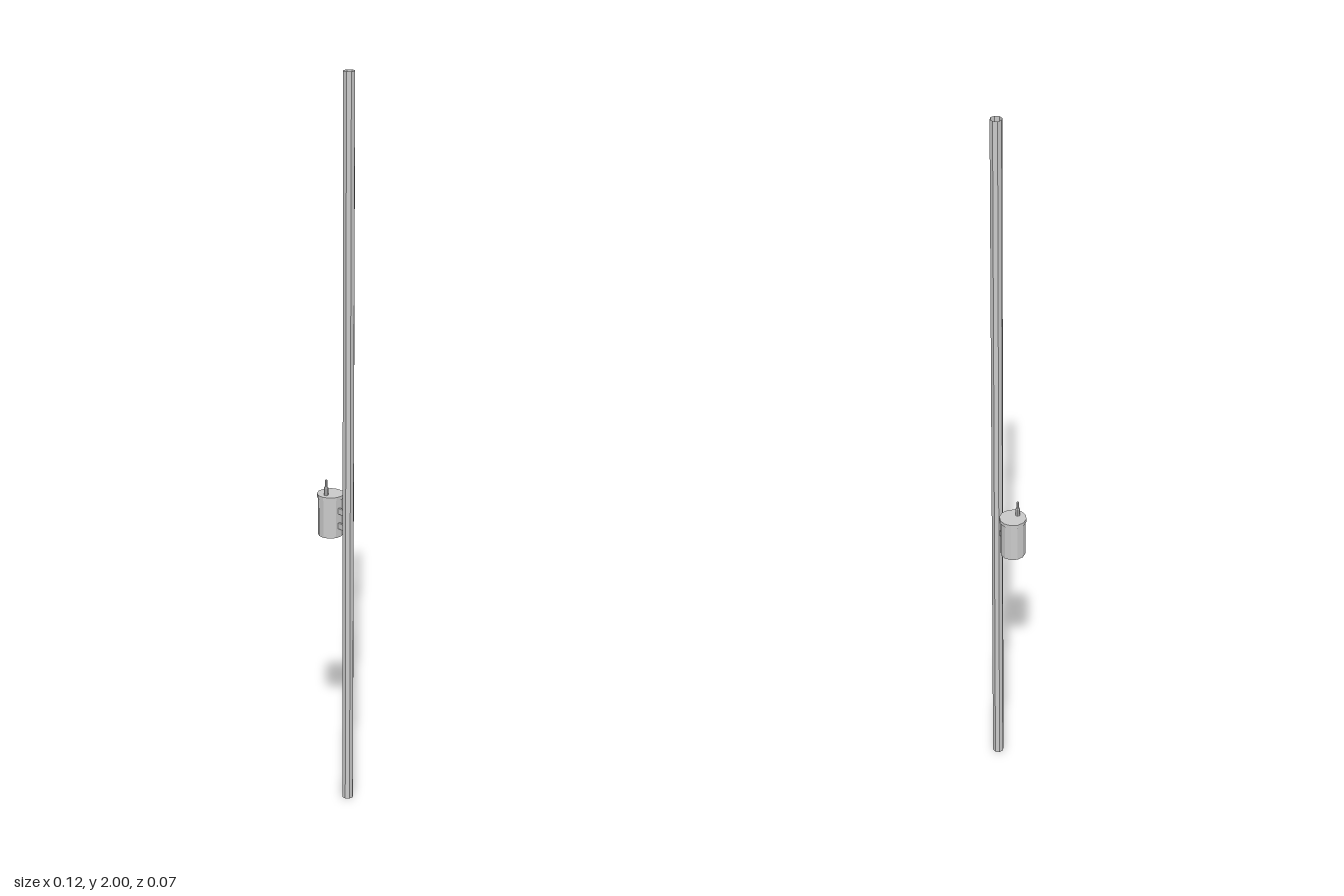
import * as THREE from 'three';

export function createModel() {
  const model = new THREE.Group();
  const solid = new THREE.MeshStandardMaterial({ color: 0xcccccc, flatShading: true });
  const open = new THREE.MeshStandardMaterial({ color: 0xcccccc, flatShading: true, side: THREE.DoubleSide });

  function add(name, geometry, material, x, y, z) {
    const mesh = new THREE.Mesh(geometry, material);
    mesh.name = name;
    mesh.position.set(x, y, z);
    model.add(mesh);
    return mesh;
  }

  // Cylinder turned half a side so that flats face the axes
  function prism(rTop, rBottom, height, sides, openEnded = false) {
    return new THREE.CylinderGeometry(rTop, rBottom, height, sides, 1, openEnded)
      .rotateY(Math.PI / sides);
  }

  // Tall hollow pole, open at both ends
  const poleX = 0.0445;
  add('pole', prism(0.0155, 0.0155, 2, 8, true), open, poleX, 1, 0);

  // Transformer tank with a slightly wider lid
  const tankX = -0.025;
  add('tank', prism(0.0335, 0.0335, 0.107, 12), solid, tankX, 0.8175, 0);
  add('lid', prism(0.036, 0.036, 0.01, 12), solid, tankX, 0.875, 0);

  // Two brackets holding the tank on the pole
  for (const y of [0.797, 0.839]) {
    add('bracket', new THREE.BoxGeometry(0.05, 0.016, 0.006), solid, 0.0187, y, -0.001);
  }

  // Terminal on the lid: stepped insulator with a thin tip
  const profile = [[0, 0], [0.006, 0], [0.006, 0.02], [0.0035, 0.024], [0.003, 0.042], [0, 0.042]]
    .map(([r, y]) => new THREE.Vector2(r, y));
  add('terminal', new THREE.LatheGeometry(profile, 8), solid, -0.023, 0.88, 0.017);

  return model;
}
